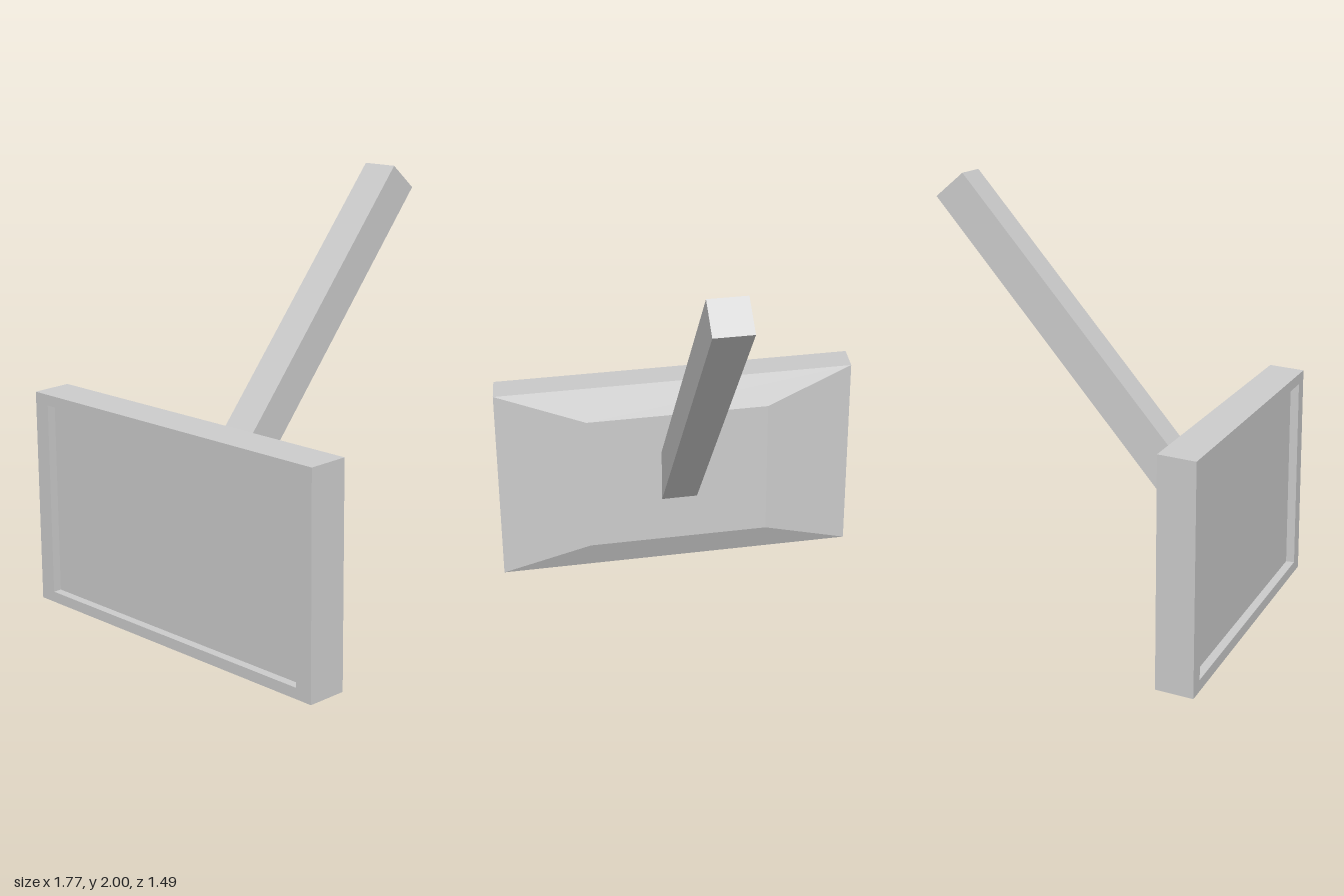
import * as THREE from 'three';

const material = new THREE.MeshStandardMaterial({ color: 0xcccccc, flatShading: true });

// Corners of an upright rectangle, counter-clockwise seen from the front
const rect = (x0, x1, y0, y1, z) => [[x0, y0, z], [x1, y0, z], [x1, y1, z], [x0, y1, z]];

// Joins rectangles with flat quads, optionally closing the first one towards the back
function loft(loops, closeBack) {
  const positions = [];
  const quad = (a, b, c, d) => positions.push(...a, ...b, ...c, ...a, ...c, ...d);
  for (let i = 0; i < loops.length - 1; i++) {
    const a = loops[i], b = loops[i + 1];
    for (let j = 0; j < 4; j++) {
      const k = (j + 1) % 4;
      quad(a[j], a[k], b[k], b[j]);
    }
  }
  if (closeBack) quad(...[...loops[0]].reverse());
  const geometry = new THREE.BufferGeometry();
  geometry.setAttribute('position', new THREE.Float32BufferAttribute(positions, 3));
  geometry.computeVertexNormals();
  return geometry;
}

function addMesh(group, name, geometry) {
  const mesh = new THREE.Mesh(geometry, material);
  mesh.name = name;
  group.add(mesh);
  return mesh;
}

export function createModel() {
  const group = new THREE.Group();
  group.name = 'wallMountedScreen';

  // Housing: tapered back, slightly skewed sides, front bezel
  const opening = [-0.8, 0.78, 0.05, 0.95];
  addMesh(group, 'housing', loft([
    rect(-0.44, 0.45, 0.16, 0.86, 0.5),
    rect(-0.868, 0.882, 0.01, 1.01, 0.565),
    rect(-0.885, 0.865, 0, 1, 0.735),
    rect(...opening, 0.735),
    rect(...opening, 0.695),
  ], true));

  // Recessed screen
  const [x0, x1, y0, y1] = opening;
  const screen = addMesh(group, 'screen', new THREE.PlaneGeometry(x1 - x0, y1 - y0));
  screen.position.set((x0 + x1) / 2, (y0 + y1) / 2, 0.695);

  // Slanted square arm, cut flush with the back of the housing
  const width = 0.175;
  const profile = new THREE.Shape([[-0.5, 0.39], [0.75, 1.89], [0.62, 2], [-0.5, 0.66]]
    .map(([x, y]) => new THREE.Vector2(x, y)));
  const armGeometry = new THREE.ExtrudeGeometry(profile, { depth: width, bevelEnabled: false });
  armGeometry.translate(0, 0, -width / 2).rotateY(Math.PI / 2);
  addMesh(group, 'supportArm', armGeometry);

  return group;
}
